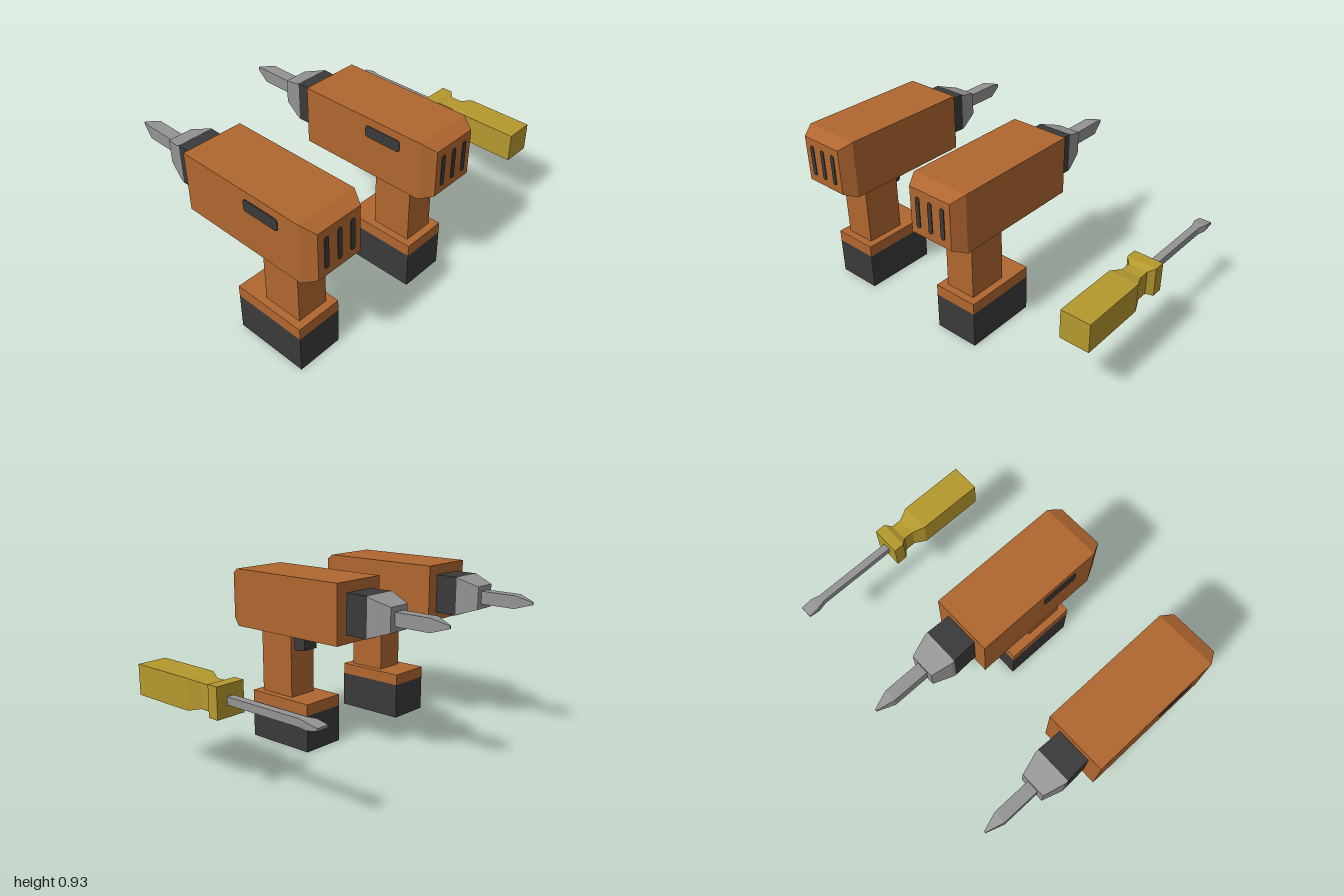
import * as THREE from 'three';

const mat = (name, color) => Object.assign(new THREE.MeshStandardMaterial({ color }), { name });

// Rectangular cross-sections [z, width, height, centreY], ascending in z, joined with flat faces
function loft(sections) {
  const pos = [];
  const rings = sections.map(([z, w, h, y]) =>
    [[-1, -1], [1, -1], [1, 1], [-1, 1]].map(([sx, sy]) => [sx * w / 2, y + sy * h / 2, z]));
  const quad = (a, b, c, d) => pos.push(...a, ...b, ...c, ...a, ...c, ...d);
  for (let i = 0; i < rings.length - 1; i++) {
    const p = rings[i], q = rings[i + 1];
    for (let k = 0; k < 4; k++) {
      const n = (k + 1) % 4;
      quad(p[k], p[n], q[n], q[k]);
    }
  }
  const s = rings[0], e = rings[rings.length - 1];
  quad(s[0], s[3], s[2], s[1]);
  quad(e[0], e[1], e[2], e[3]);
  const g = new THREE.BufferGeometry();
  g.setAttribute('position', new THREE.Float32BufferAttribute(pos, 3));
  g.computeVertexNormals();
  return g;
}

// Thin plate with rounded corners, centred, facing +z
function plate(w, h, r) {
  const s = new THREE.Shape();
  const x = w / 2, y = h / 2;
  s.moveTo(-x + r, -y);
  s.lineTo(x - r, -y);
  s.absarc(x - r, -y + r, r, -Math.PI / 2, 0);
  s.lineTo(x, y - r);
  s.absarc(x - r, y - r, r, 0, Math.PI / 2);
  s.lineTo(-x + r, y);
  s.absarc(-x + r, y - r, r, Math.PI / 2, Math.PI);
  s.lineTo(-x, -y + r);
  s.absarc(-x + r, -y + r, r, Math.PI, Math.PI * 1.5);
  return new THREE.ExtrudeGeometry(s, { depth: 0.005, bevelEnabled: false, curveSegments: 4 });
}

export function createModel() {
  const orange = mat('orange casing', 0xb0662f);
  const dark = mat('dark rubber', 0x3a3a3a);
  const steel = mat('steel', 0x949494);
  const yellow = mat('yellow grip', 0xb5982e);

  const model = new THREE.Group();
  model.name = 'powerTools';

  const add = (parent, name, geometry, material, x = 0, y = 0, z = 0) => {
    const m = new THREE.Mesh(geometry, material);
    m.name = name;
    m.position.set(x, y, z);
    parent.add(m);
    return m;
  };
  const box = (parent, name, material, w, y0, y1, z0, z1) =>
    add(parent, name, new THREE.BoxGeometry(w, y1 - y0, z1 - z0), material, 0, (y0 + y1) / 2, (z0 + z1) / 2);

  // Drill: z = 0 is the front of the casing, the bit points to -z
  function drill(name) {
    const g = new THREE.Group();
    g.name = name;
    add(g, 'casing', loft([[0, 0.322, 0.31, 0.773], [0.71, 0.322, 0.31, 0.773], [0.778, 0.25, 0.245, 0.773]]), orange);
    box(g, 'handle', orange, 0.17, 0.26, 0.625, 0.39, 0.606);
    box(g, 'batteryMount', orange, 0.248, 0.2, 0.262, 0.24, 0.646);
    box(g, 'battery', dark, 0.248, 0, 0.2, 0.24, 0.646);
    add(g, 'trigger', loft([[0.33, 0.09, 0.1, 0.57], [0.35, 0.115, 0.105, 0.57], [0.4, 0.115, 0.105, 0.57]]), dark);

    // Chuck and bit
    add(g, 'chuckCollar', loft([[-0.13, 0.19, 0.21, 0.768], [0.01, 0.18, 0.21, 0.768]]), dark);
    add(g, 'chuck', loft([[-0.25, 0.13, 0.125, 0.768], [-0.145, 0.19, 0.195, 0.768], [-0.13, 0.19, 0.21, 0.768]]), steel);
    add(g, 'bit', loft([[-0.54, 0.008, 0.015, 0.768], [-0.45, 0.064, 0.07, 0.768], [-0.24, 0.064, 0.07, 0.768]]), steel);

    // Rear vents and side badge
    for (const i of [-1, 0, 1]) add(g, 'vent', plate(0.024, 0.165, 0.011), dark, i * 0.077, 0.773, 0.777);
    add(g, 'sidePanel', plate(0.205, 0.062, 0.015), dark, -0.16, 0.855, 0.488).rotation.y = -Math.PI / 2;
    return g;
  }

  // Screwdriver: z = 0 is the butt of the grip, the blade points to -z
  function screwdriver() {
    const g = new THREE.Group();
    g.name = 'screwdriver';
    const y = 0.467;
    add(g, 'grip', loft([
      [-0.574, 0.157, 0.155, y], [-0.515, 0.157, 0.155, y], [-0.485, 0.1, 0.125, y],
      [-0.43, 0.1, 0.125, y], [-0.365, 0.157, 0.155, y], [0, 0.157, 0.155, y],
    ]), yellow);
    add(g, 'shaft', loft([
      [-1.13, 0.065, 0.012, y], [-1.07, 0.066, 0.036, y], [-1.02, 0.04, 0.038, y], [-0.56, 0.04, 0.038, y],
    ]), steel);
    return g;
  }

  // All tools lie parallel, turned by the same angle
  const place = (tool, x, z) => {
    tool.position.set(x, 0, z);
    tool.rotation.y = Math.PI / 5;
    model.add(tool);
  };
  place(drill('rightDrill'), -0.682, 0.277);
  place(drill('middleDrill'), -0.072, -0.163);
  place(screwdriver(), 0.935, -0.05);
  return model;
}
